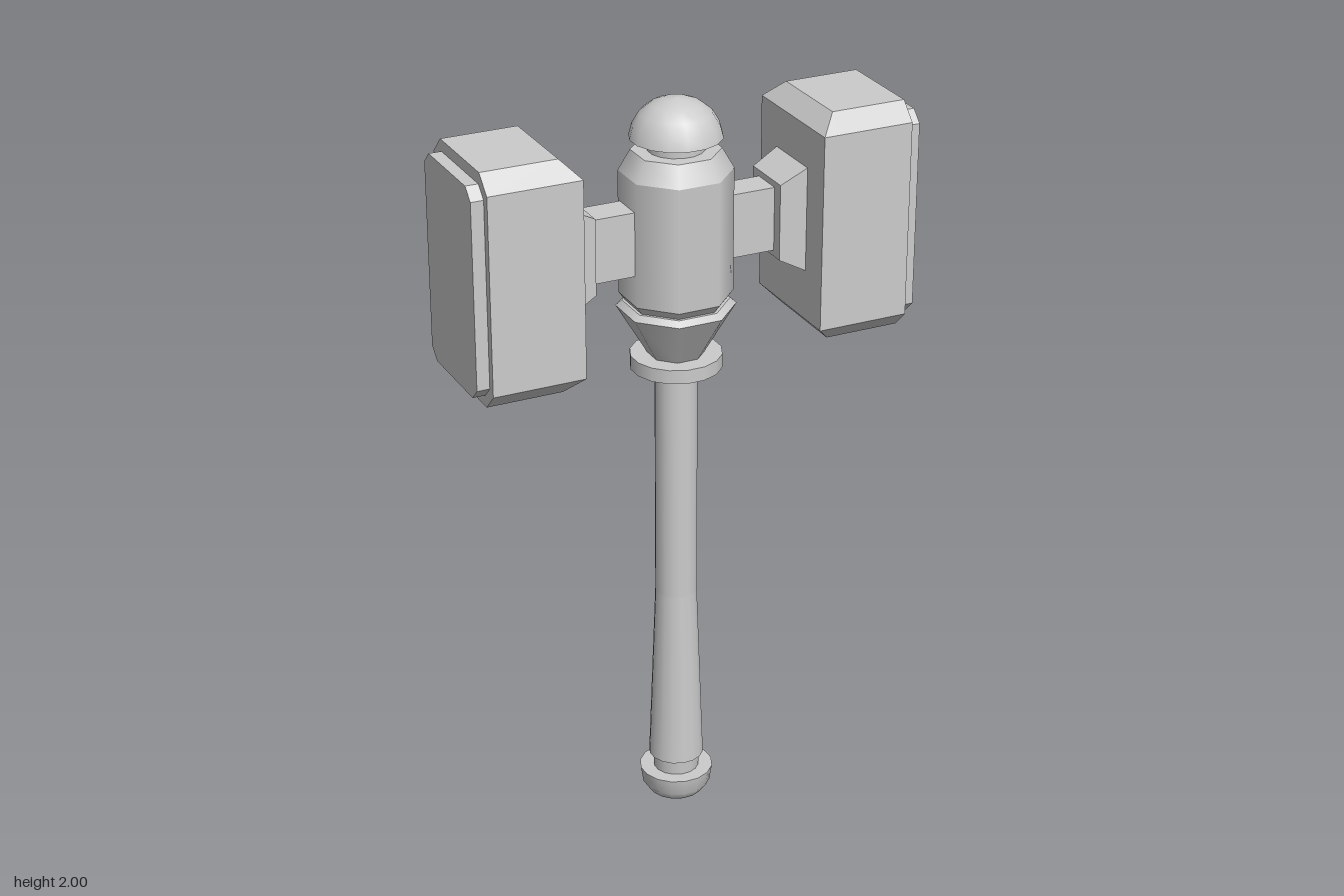
import * as THREE from 'three';
import { mergeGeometries } from 'three/addons/utils/BufferGeometryUtils.js';

const smooth = new THREE.MeshStandardMaterial({ color: 0xcccccc });
const flat = new THREE.MeshStandardMaterial({ color: 0xcccccc, flatShading: true });

function add(parent, name, geometry, material) {
  const mesh = new THREE.Mesh(geometry, material);
  mesh.name = name;
  parent.add(mesh);
  return mesh;
}

// Turned part from [radius, y] points, bottom to top; creased keeps each band's edges sharp.
function turned(profile, sides, creased = true) {
  const pts = profile.map(([r, y]) => new THREE.Vector2(r, y));
  const lathe = (p) => new THREE.LatheGeometry(p, sides, Math.PI / sides);
  if (!creased) return lathe(pts);
  return mergeGeometries(pts.slice(1).map((p, i) => lathe([pts[i], p])));
}

// Loft along +x through chamfered rectangles { x, y: half height, z: half depth, c: corner cut }.
function loft(sections) {
  const rings = sections.map(({ x, y, z, c = 0 }) => [
    [x, y - c, z], [x, y, z - c], [x, y, c - z], [x, y - c, -z],
    [x, c - y, -z], [x, -y, c - z], [x, -y, z - c], [x, c - y, z],
  ]);
  const pos = [];
  const tri = (p, q, r) => pos.push(...p, ...q, ...r);
  for (let s = 0; s < rings.length - 1; s++) {
    const a = rings[s], b = rings[s + 1];
    for (let i = 0; i < 8; i++) {
      const j = (i + 1) % 8;
      tri(a[i], b[i], b[j]);
      tri(a[i], b[j], a[j]);
    }
  }
  const first = rings[0], last = rings[rings.length - 1];
  for (let i = 1; i < 7; i++) {
    tri(first[0], first[i], first[i + 1]);
    tri(last[0], last[i + 1], last[i]);
  }
  const geometry = new THREE.BufferGeometry();
  geometry.setAttribute('position', new THREE.Float32BufferAttribute(pos, 3));
  geometry.computeVertexNormals();
  return geometry;
}

// One hammer head on the +x side
function hammerHead() {
  const head = new THREE.Group();
  add(head, 'arm', loft([
    { x: 0.08, y: 0.084, z: 0.043 }, { x: 0.26, y: 0.084, z: 0.043 },
  ]), flat).position.y = 1.654;
  add(head, 'armFlare', loft([
    { x: 0.25, y: 0.1, z: 0.074 }, { x: 0.325, y: 0.14, z: 0.083 },
  ]), flat).position.y = 1.654;
  add(head, 'block', loft([
    { x: 0.32, y: 0.257, z: 0.167 },
    { x: 0.364, y: 0.302, z: 0.167, c: 0.045 },
    { x: 0.564, y: 0.302, z: 0.167, c: 0.045 },
  ]), flat).position.y = 1.642;
  add(head, 'strikingPlate', loft([
    { x: 0.56, y: 0.272, z: 0.146, c: 0.03 },
    { x: 0.597, y: 0.272, z: 0.146, c: 0.03 },
  ]), flat).position.y = 1.642;
  return head;
}

export function createModel() {
  const model = new THREE.Group();
  model.name = 'warHammer';
  const oct = 1 / Math.cos(Math.PI / 8); // flat-to-flat half width to corner radius

  // Handle, swelling towards the grip
  add(model, 'pommel', turned([
    [0, 0], [0.04, 0.008], [0.073, 0.025], [0.091, 0.05], [0.098, 0.095],
  ], 16, false), smooth);
  add(model, 'pommelTop', turned([[0.098, 0.095], [0, 0.095]], 16), smooth);
  add(model, 'pommelNeck', turned([[0.06, 0.09], [0.063, 0.14]], 16), smooth);
  add(model, 'shaft', turned([
    [0, 0.138], [0.073, 0.138], [0.055, 0.64], [0.055, 1.3],
  ], 16), smooth);
  add(model, 'collarRing', turned([
    [0, 1.288], [0.118, 1.288], [0.118, 1.325], [0, 1.325],
  ], 16), smooth);

  // Eight-sided socket and hub
  add(model, 'socket', turned([
    [0.065 * oct, 1.32], [0.14 * oct, 1.455], [0.125 * oct, 1.469], [0, 1.469],
  ], 8), smooth);
  add(model, 'hub', turned([
    [0.115 * oct, 1.465], [0.132 * oct, 1.49], [0.132 * oct, 1.815],
    [0.104 * oct, 1.868], [0, 1.868],
  ], 8), smooth);

  // Domed cap
  add(model, 'capNeck', turned([[0.072, 1.86], [0.072, 1.905]], 16), smooth);
  add(model, 'capBase', turned([[0, 1.9], [0.117, 1.9]], 16), smooth);
  add(model, 'cap', turned([
    [0.117, 1.9], [0.109, 1.93], [0.09, 1.962], [0.062, 1.984], [0.032, 1.996], [0, 2],
  ], 16, false), smooth);

  // Matching heads on both sides
  ['leftHead', 'rightHead'].forEach((name, i) => {
    const head = hammerHead();
    head.name = name;
    head.rotation.y = i * Math.PI;
    model.add(head);
  });
  return model;
}
